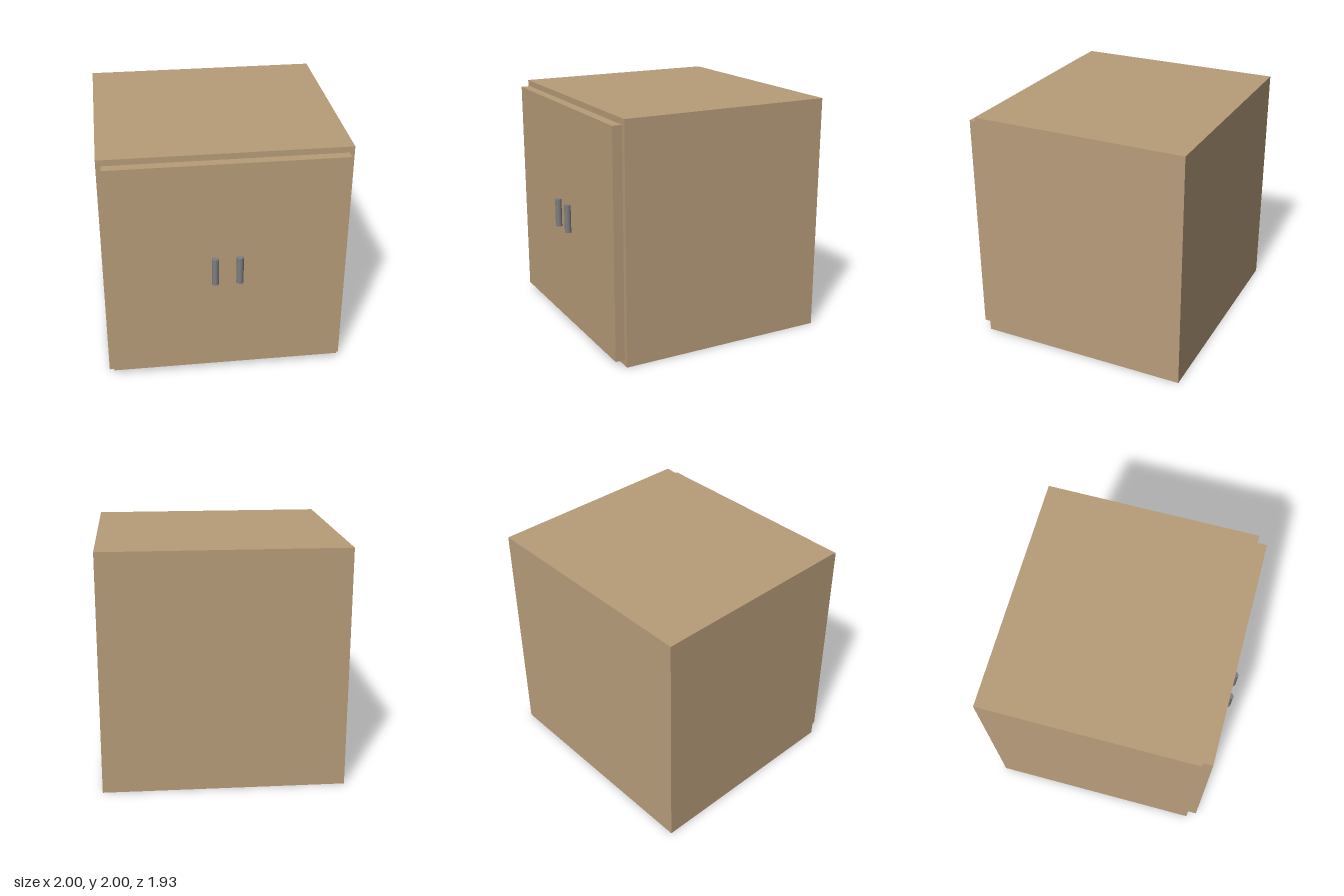
import * as THREE from 'three';

export function createModel() {
  const group = new THREE.Group();
  const wood = new THREE.MeshStandardMaterial({ color: 0xb89d7a });
  const metal = new THREE.MeshStandardMaterial({ color: 0x808080 });

  const add = (name, geometry, material, x, y, z) => {
    const mesh = new THREE.Mesh(geometry, material);
    mesh.name = name;
    mesh.position.set(x, y, z);
    group.add(mesh);
  };

  // Cabinet body with a slightly inset door panel on the front
  add('body', new THREE.BoxGeometry(2, 2, 1.8), wood, 0, 1, -0.065);
  add('doorPanel', new THREE.BoxGeometry(1.92, 1.9, 0.08), wood, 0, 1, 0.875);

  // Pair of upright bar handles, partly sunk into the door
  const bar = new THREE.CylinderGeometry(0.03, 0.03, 0.24, 8);
  for (const [name, side] of [['leftHandle', 1], ['rightHandle', -1]]) {
    add(name, bar, metal, side * 0.1, 1, 0.935);
  }

  return group;
}
